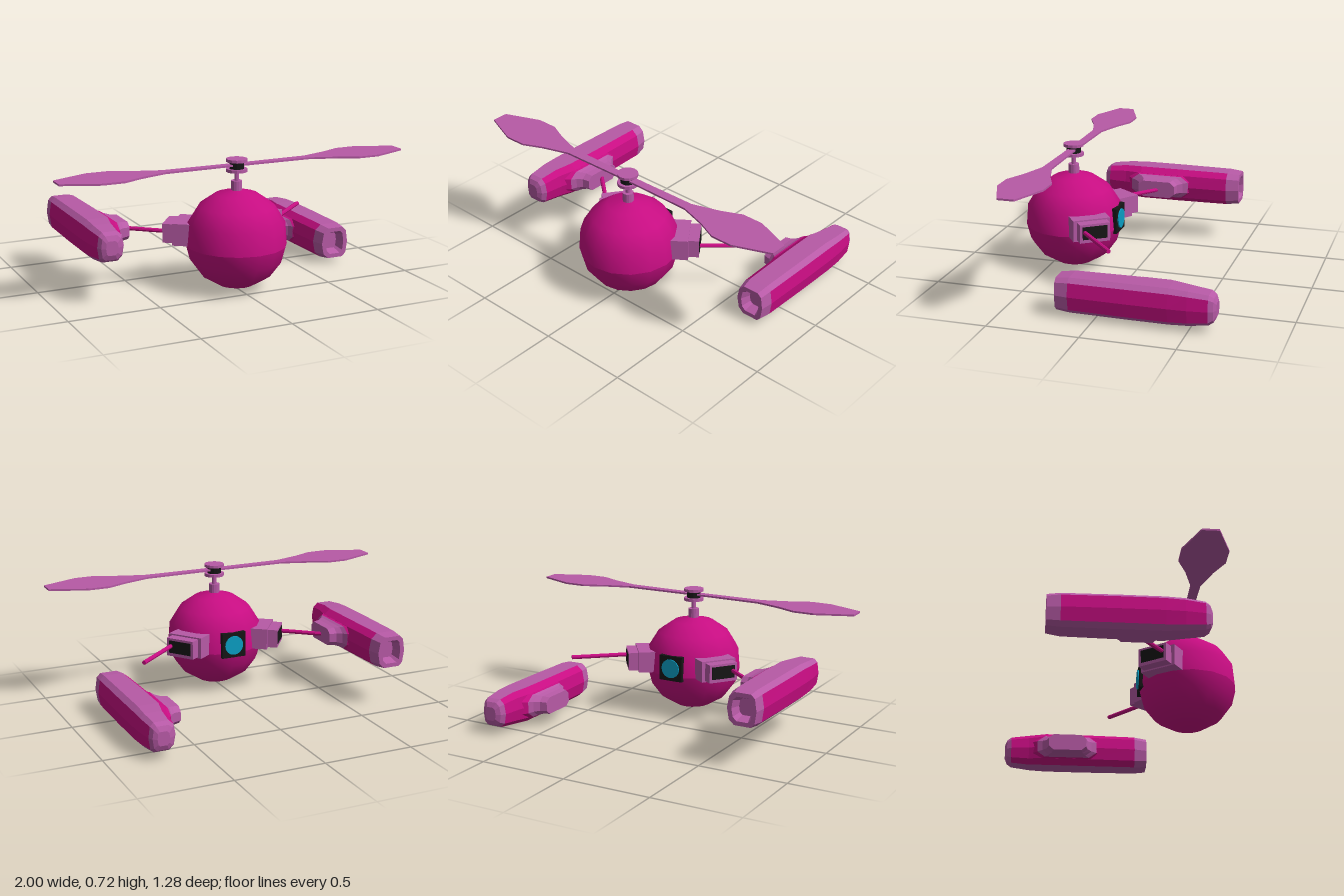
import * as THREE from 'three';

const paint = (color, flat = true) => new THREE.MeshStandardMaterial({ color, flatShading: flat, side: THREE.DoubleSide });
const deep = paint(0xc70d82), pale = paint(0xb75aa6), dark = paint(0x161616), cyan = paint(0x0a9fc4);
const smooth = paint(0xc70d82, false);

const BODY_Z = 0.37;

function add(parent, name, geometry, material, x = 0, y = 0, z = 0) {
  const mesh = new THREE.Mesh(geometry, material);
  mesh.name = name;
  mesh.position.set(x, y, z);
  parent.add(mesh);
  return mesh;
}

// Skin between rings running from +z to -z; keep(i, j) selects the panels
function loft(rings, keep = () => true) {
  const pos = [];
  for (let i = 0; i < rings.length - 1; i++) {
    const n = rings[i].length;
    for (let j = 0; j < n; j++) {
      if (!keep(i, j)) continue;
      const k = (j + 1) % n;
      const a = rings[i][j], b = rings[i][k], c = rings[i + 1][k], d = rings[i + 1][j];
      pos.push(...a, ...d, ...c, ...a, ...c, ...b);
    }
  }
  const g = new THREE.BufferGeometry();
  g.setAttribute('position', new THREE.Float32BufferAttribute(pos, 3));
  g.computeVertexNormals();
  return g;
}

// Ten-sided pod: pale top, bottom and ends, deep side panels, mount on its -x side
function createPod(name) {
  const pod = new THREE.Group();
  pod.name = name;
  const section = [
    [1, 0], [0.88, 0.76], [0.62, 1], [-0.5, 1], [-0.86, 0.7],
    [-1, 0], [-0.86, -0.7], [-0.5, -1], [0.62, -1], [0.88, -0.76],
  ];
  // z, centre x, half width, half height
  const stations = [
    [0.37, 0.007, 0, 0],
    [0.37, 0.007, 0.04, 0.045],
    [0.4225, 0.007, 0.058, 0.065],
    [0.4225, 0.007, 0.083, 0.088],
    [0.35, 0.002, 0.096, 0.096],
    [0.05, 0, 0.102, 0.098],
    [-0.18, 0, 0.102, 0.098],
    [-0.28, 0.012, 0.086, 0.092],
    [-0.385, 0.012, 0.073, 0.08],
    [-0.41, 0.014, 0.058, 0.065],
    [-0.4225, 0.016, 0.034, 0.038],
    [-0.4225, 0.016, 0, 0],
  ];
  const rings = stations.map(([z, cx, w, h]) => section.map(([x, y]) => [cx + x * w, y * h, z]));
  const isSide = (i, j) => i >= 4 && i <= 7 && [0, 3, 4, 5, 6, 9].includes(j);
  add(pod, 'podSidePanels', loft(rings, isSide), deep);
  add(pod, 'podShell', loft(rings, (i, j) => !isSide(i, j)), pale);

  // Flared mount: distance out from the pod axis, half length, half height
  const mountStations = [
    [0.18, 0, 0], [0.18, 0.11, 0.048], [0.14, 0.12, 0.052],
    [0.115, 0.145, 0.058], [0.1, 0.175, 0.065], [0.06, 0.215, 0.075],
  ];
  const mountRings = mountStations.map(([z, w, h]) =>
    [[1, 0.5], [0.75, 1], [-0.75, 1], [-1, 0.5], [-1, -0.5], [-0.75, -1], [0.75, -1], [1, -0.5]]
      .map(([x, y]) => [x * w, y * h, z]));
  const mount = add(pod, 'podMount', loft(mountRings, (i) => i < 4), pale, 0, 0, -0.055);
  const root = add(pod, 'podMountRoot', loft(mountRings, (i) => i === 4), deep, 0, 0, -0.055);
  mount.rotation.y = root.rotation.y = -Math.PI / 2;
  return pod;
}

function createArm(side, endX, endZ) {
  const arm = new THREE.Group();
  arm.name = side > 0 ? 'leftArm' : 'rightArm';

  // Stepped bracket with a dark slot
  const bracket = new THREE.Group();
  bracket.name = 'armBracket';
  bracket.position.set(0, 0.313, BODY_Z);
  bracket.rotation.y = Math.atan2(side * 0.81, -0.59);
  add(bracket, 'bracketBase', new THREE.BoxGeometry(0.21, 0.12, 0.13), pale, 0, 0, 0.265);
  add(bracket, 'bracketFace', new THREE.BoxGeometry(0.17, 0.104, 0.07), pale, 0, 0, 0.352);
  add(bracket, 'bracketSlot', new THREE.BoxGeometry(0.14, 0.072, 0.01), dark, 0, 0.003, 0.385);
  arm.add(bracket);

  // Strut
  const from = new THREE.Vector3(side * 0.3, 0.32, 0.23), to = new THREE.Vector3(endX, 0.32, endZ);
  const strut = add(arm, 'strut', new THREE.CylinderGeometry(0.012, 0.012, from.distanceTo(to), 8), deep);
  strut.position.copy(from).lerp(to, 0.5);
  strut.quaternion.setFromUnitVectors(new THREE.Vector3(0, 1, 0), to.sub(from).normalize());
  return arm;
}

function createRotor() {
  const rotor = new THREE.Group();
  rotor.name = 'rotor';
  rotor.position.z = BODY_Z;
  // name, radius, bottom, top, material
  for (const [name, r, y0, y1, m] of [
    ['mastBase', 0.03, 0.54, 0.602, pale],
    ['mast', 0.013, 0.6, 0.652, pale],
    ['lowerDisc', 0.057, 0.65, 0.667, pale],
    ['hub', 0.04, 0.665, 0.706, dark],
    ['upperDisc', 0.057, 0.704, 0.72, pale],
  ]) add(rotor, name, new THREE.CylinderGeometry(r, r, y1 - y0, 14), m, 0, (y0 + y1) / 2, 0);

  // Twin-blade outline
  const half = [[0.1, 0.023], [0.42, 0.027], [0.57, 0.075], [0.68, 0.125], [0.8, 0.125], [1, 0.045]];
  const q = [...half.map(([x, y]) => [x, -y]), ...half.slice().reverse()];
  const outline = [...q, ...q.map(([x, y]) => [-x, -y])].map(([x, y]) => new THREE.Vector2(x, y));
  const blade = new THREE.ExtrudeGeometry(new THREE.Shape(outline), { depth: 0.01, bevelEnabled: false });
  blade.rotateX(-Math.PI / 2);
  add(rotor, 'blades', blade, pale, 0, 0.682, 0);
  return rotor;
}

export function createModel() {
  const model = new THREE.Group();
  model.name = 'drone';

  // Round body in two halves with a crease between
  const profile = [[0, 0.005], [0.1, 0.033], [0.19, 0.088], [0.25, 0.17], [0.272, 0.255],
    [0.262, 0.375], [0.205, 0.467], [0.115, 0.53], [0, 0.558]].map(([x, y]) => new THREE.Vector2(x, y));
  add(model, 'lowerBody', new THREE.LatheGeometry(profile.slice(0, 5), 16), smooth, 0, 0, BODY_Z);
  add(model, 'upperBody', new THREE.LatheGeometry(profile.slice(4), 16), smooth, 0, 0, BODY_Z);

  // Round lamp on a square plate at the back
  add(model, 'lampPlate', new THREE.BoxGeometry(0.145, 0.145, 0.05), dark, 0, 0.305, 0.121);
  const lamp = add(model, 'lamp', new THREE.CylinderGeometry(0.055, 0.055, 0.01, 16), cyan, 0, 0.305, 0.094);
  lamp.rotation.x = Math.PI / 2;

  model.add(createRotor(), createArm(1, 0.59, -0.025), createArm(-1, -0.55, 0.02));

  // Loose pod on the left, attached pod turned around on the right
  const loosePod = createPod('leftPod');
  loosePod.position.set(0.705, 0.127, -0.2175);
  const fixedPod = createPod('rightPod');
  fixedPod.position.set(-0.705, 0.325, -0.0175);
  fixedPod.rotation.y = Math.PI;
  model.add(loosePod, fixedPod);
  return model;
}
